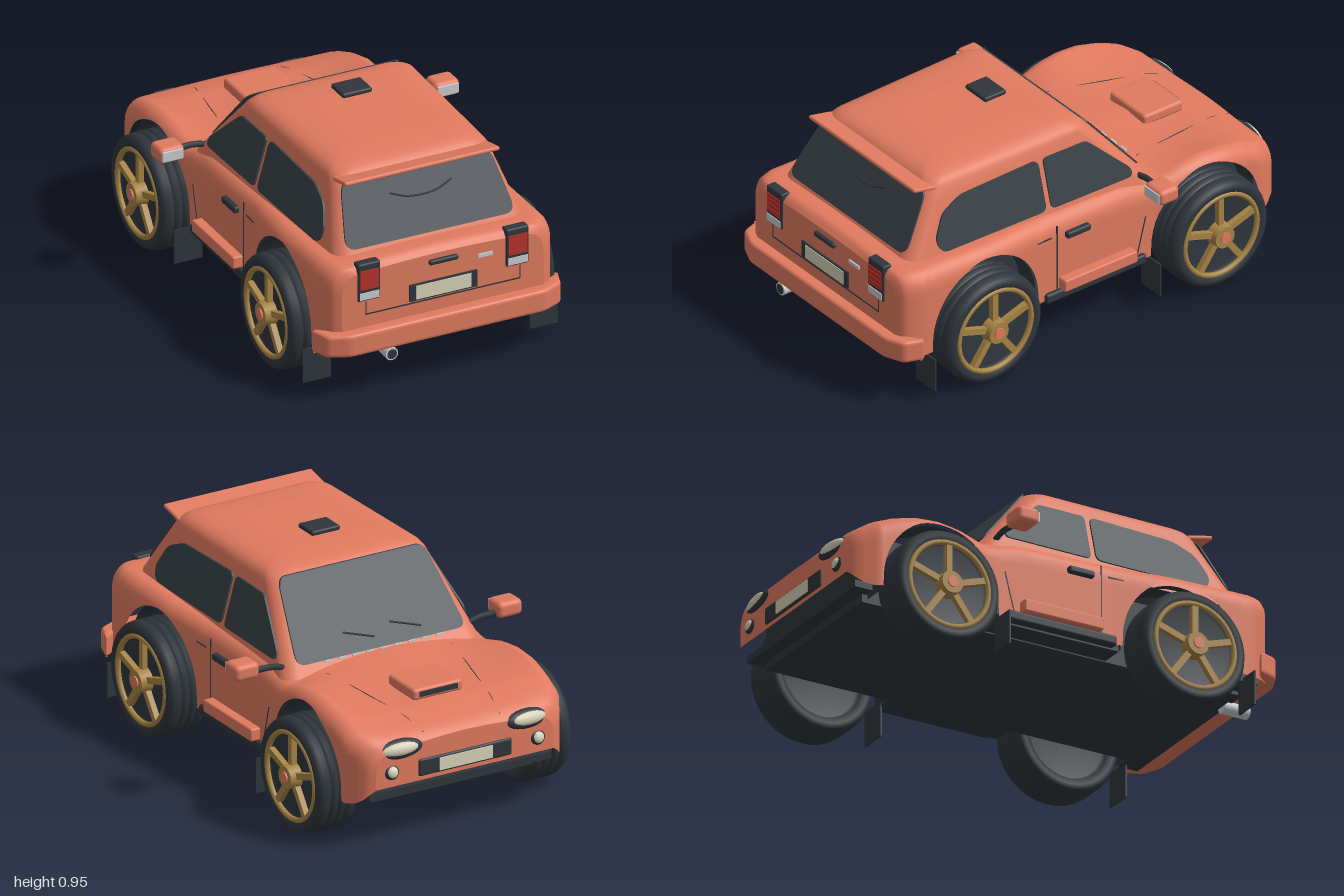
import * as THREE from 'three';
import { RoundedBoxGeometry } from 'three/addons/geometries/RoundedBoxGeometry.js';

const mat = (name, color, side = THREE.FrontSide) => Object.assign(new THREE.MeshStandardMaterial({ color, side }), { name });
const paint = mat('body paint', 0xe07a5f);
const dark = mat('dark trim', 0x2f363c, THREE.DoubleSide);
const glass = mat('tinted glass', 0x3a4248, THREE.DoubleSide);
const gold = mat('wheel gold', 0xa88445);
const silver = mat('silver', 0xc8cdd0);
const cream = mat('cream', 0xd8d2b8);
const red = mat('lamp red', 0xb8302a);

const { lerp } = THREE.MathUtils;

// Linear lookup in a short table of [key, value]
function look(table, k) {
  if (k <= table[0][0]) return table[0][1];
  for (let i = 1; i < table.length; i++) {
    const [a, va] = table[i - 1], [b, vb] = table[i];
    if (k <= b) return lerp(va, vb, (k - a) / (b - a));
  }
  return table[table.length - 1][1];
}

// Skin a list of cross-sections, with optional fan caps at both ends
function loft(rows, closed, flip, capFirst, capLast) {
  const pos = rows.flat(2), idx = [], n = rows[0].length;
  const tri = (a, b, c, f) => (f ? idx.push(a, c, b) : idx.push(a, b, c));
  for (let i = 0; i < rows.length - 1; i++)
    for (let j = 0; j < (closed ? n : n - 1); j++) {
      const k = (j + 1) % n, a = i * n + j, b = i * n + k;
      tri(a, b, a + n, flip);
      tri(b, b + n, a + n, flip);
    }
  const cap = (row, centre, f) => {
    const s = pos.length / 3;
    pos.push(...centre, ...row.flat());
    for (let j = 0; j < n; j++) tri(s, s + 1 + j, s + 1 + (j + 1) % n, f);
  };
  if (capFirst) cap(rows[0], capFirst, !flip);
  if (capLast) cap(rows[rows.length - 1], capLast, flip);
  const g = new THREE.BufferGeometry();
  g.setAttribute('position', new THREE.Float32BufferAttribute(pos, 3));
  g.setIndex(idx);
  g.computeVertexNormals();
  return g;
}

// Polygon with rounded corners
function roundPoly(pts, r) {
  const s = new THREE.Shape(), v = pts.map(p => new THREE.Vector2(...p)), n = v.length;
  v.forEach((p, i) => {
    const to = q => p.clone().add(q.clone().sub(p).setLength(r));
    const a = to(v[(i + n - 1) % n]), b = to(v[(i + 1) % n]);
    i ? s.lineTo(a.x, a.y) : s.moveTo(a.x, a.y);
    s.quadraticCurveTo(p.x, p.y, b.x, b.y);
  });
  s.closePath();
  return s;
}

// Thin plate laid onto a surface by map(a, b, depth) -> [x, y, z]
function plate(pts, r, map) {
  const g = new THREE.ExtrudeGeometry(roundPoly(pts, r), { depth: 0.008, bevelEnabled: false, curveSegments: 6 });
  const p = g.attributes.position;
  for (let i = 0; i < p.count; i++) p.setXYZ(i, ...map(p.getX(i), p.getY(i), p.getZ(i)));
  g.computeVertexNormals();
  return g;
}

// Body: half width, shoulder height, centre height and lower edge along z
const ARCHES = [[-0.592, 0.272], [0.533, 0.275]], ARCH_H = 0.295, AXLE_Y = 0.25;
const width = z => look([[-0.985, 0.42], [-0.965, 0.46], [-0.88, 0.51], [-0.7, 0.525], [-0.5, 0.52], [-0.34, 0.5], [0.2, 0.5], [0.5, 0.525], [0.85, 0.522], [0.91, 0.505], [0.935, 0.485], [0.95, 0.455]], z);
const shoulder = z => look([[-0.985, 0.43], [-0.96, 0.47], [-0.9, 0.505], [-0.8, 0.545], [-0.7, 0.568], [-0.6, 0.577], [-0.5, 0.565], [-0.38, 0.535], [-0.2, 0.57], [0.5, 0.585], [0.9, 0.595], [0.935, 0.585], [0.95, 0.56]], z);
const centreY = z => look([[-0.985, 0.455], [-0.95, 0.485], [-0.8, 0.525], [-0.6, 0.55], [-0.36, 0.578], [0.5, 0.59], [0.92, 0.603], [0.95, 0.575]], z);
function lowerEdge(z) {
  for (const [c, r] of ARCHES) {
    const d = (z - c) / r;
    if (Math.abs(d) < 1) return AXLE_Y + ARCH_H * Math.sqrt(1 - d * d);
  }
  return look([[-0.985, 0.28], [-0.95, 0.225], [-0.9, 0.21]], z);
}
function deckY(x, z) {
  const s = Math.min(1, Math.abs(x) / (width(z) - 0.07));
  return lerp(centreY(z), shoulder(z), s * s) - 0.02 * Math.sin(Math.PI * s) * Math.exp(-(((z + 0.62) / 0.18) ** 2));
}
function bodySection(z) {
  const half = [], w = width(z), ys = shoulder(z), yb = lowerEdge(z);
  for (let i = 0; i <= 12; i++) {
    const y = lerp(yb, ys, Math.sin(i / 12 * Math.PI / 2)), d = Math.max(0, (y - ys + 0.08) / 0.08);
    half.push([w - 0.07 * (1 - Math.sqrt(Math.max(0, 1 - d * d))), y, z]);
  }
  for (let i = 1; i <= 8; i++) {
    const x = (w - 0.07) * (1 - i / 8);
    half.push([x, deckY(x, z), z]);
  }
  return [...half, ...half.slice(0, -1).reverse().map(([x, y]) => [-x, y, z])];
}
function bodyGeometry() {
  const zs = [-0.985, -0.975, -0.96, -0.93, -0.9, -0.88, -0.28, -0.2, -0.1, 0, 0.1, 0.2, 0.85, 0.88, 0.91, 0.925, 0.935, 0.945, 0.95];
  for (const [c, r] of ARCHES) {
    zs.push(c - r - 0.001, c + r + 0.001);
    for (let i = 0; i <= 24; i++) zs.push(c - r * 0.9999 * Math.cos(i / 24 * Math.PI));
  }
  zs.sort((a, b) => a - b);
  return loft(zs.map(bodySection), false, false, [0, 0.35, -0.985], [0, 0.4, 0.95]);
}

// Cabin: tapering rounded rectangles
const R = 0.07;
const cabin = y => {
  const t = (y - 0.57) / 0.29;
  return { xf: lerp(0.455, 0.37, t), xr: lerp(0.435, 0.355, t), zf: lerp(-0.35, -0.11, t), zr: lerp(0.865, 0.69, t) };
};
const cabinX = (y, z) => {
  const c = cabin(y);
  return lerp(c.xf, c.xr, (z - c.zf - R) / (c.zr - c.zf - 2 * R));
};
function cabinGeometry() {
  const ring = (y, inset, base) => {
    const c = cabin(base), pts = [];
    [[c.xr, c.zr, 1, 1], [c.xr, c.zr, -1, 1], [c.xf, c.zf, -1, -1], [c.xf, c.zf, 1, -1]].forEach(([x, z, sx, sz], q) => {
      for (let i = 0; i <= 6; i++) {
        const a = (q + i / 6) * Math.PI / 2;
        pts.push([sx * (x - inset - R) + R * Math.cos(a), y, z - sz * (inset + R) + R * Math.sin(a)]);
      }
    });
    return pts;
  };
  const rows = [0.53, 0.6, 0.7, 0.8, 0.85].map(y => ring(y, 0, y));
  for (const [y, inset] of [[0.87, 0.012], [0.884, 0.032], [0.894, 0.065], [0.901, 0.12], [0.905, 0.2]]) rows.push(ring(y, inset, 0.86));
  return loft(rows, true, true, null, [0, 0.907, 0.29]);
}

export function createModel() {
  const car = new THREE.Group();
  car.name = 'car';
  const add = (name, geo, m, x = 0, y = 0, z = 0, parent = car) => {
    const mesh = new THREE.Mesh(geo, m);
    mesh.name = name;
    mesh.position.set(x, y, z);
    parent.add(mesh);
    return mesh;
  };
  const box = (name, m, w, h, d, x, y, z, r = 0) =>
    add(name, r ? new RoundedBoxGeometry(w, h, d, 3, r) : new THREE.BoxGeometry(w, h, d), m, x, y, z);
  const tube = (name, m, pts, r) =>
    add(name, new THREE.TubeGeometry(new THREE.CatmullRomCurve3(pts.map(p => new THREE.Vector3(...p))), 16, r, 6), m);

  add('body', bodyGeometry(), paint);
  add('cabin', cabinGeometry(), paint);

  // Windscreen and rear window
  add('windscreen', plate([[-0.4, 0.585], [0.4, 0.585], [0.345, 0.875], [-0.345, 0.875]], 0.04,
    (x, y, d) => [x, y, cabin(y).zf - d + (y > 0.86 ? (y - 0.86) * 0.3 : 0)]), glass);
  add('rearWindow', plate([[-0.385, 0.615], [0.385, 0.615], [0.335, 0.855], [-0.335, 0.855]], 0.05,
    (x, y, d) => [x, y, cabin(y).zr + d]), glass);
  tube('rearWiper', dark, [[-0.14, 0.78, cabin(0.78).zr + 0.012], [-0.06, 0.755, cabin(0.755).zr + 0.012], [0.06, 0.755, cabin(0.755).zr + 0.012], [0.14, 0.78, cabin(0.78).zr + 0.012]], 0.004);
  for (const x of [-0.12, 0.1]) tube('wiper', dark, [[x - 0.08, 0.625, cabin(0.625).zf - 0.014], [x + 0.05, 0.66, cabin(0.66).zf - 0.014]], 0.004);
  for (let i = -4; i <= 4; i++) box('cowlVent', silver, 0.035, 0.006, 0.008, i * 0.066, 0.588, -0.362);

  // Roof pad, spoiler and bonnet scoop
  box('roofPad', dark, 0.135, 0.022, 0.11, 0, 0.936, 0.137, 0.009);
  box('spoiler', paint, 0.7, 0.018, 0.12, 0, 0.863, 0.712, 0.008).rotation.x = -0.22;
  box('bonnetScoop', paint, 0.235, 0.05, 0.2, 0, 0.552, -0.68, 0.015);
  box('scoopIntake', dark, 0.18, 0.022, 0.008, 0, 0.554, -0.78);

  // Floor and inner structure
  box('floor', dark, 0.76, 0.3, 1.76, 0, 0.335, -0.01);
  box('midFloor', dark, 0.97, 0.04, 0.56, 0, 0.21, -0.03);
  box('rearFloor', dark, 0.96, 0.03, 0.09, 0, 0.215, 0.86);
  box('noseFloor', dark, 0.86, 0.03, 0.08, 0, 0.235, -0.91);

  // Rear bumper, plate, handle, badge bar, boot seam and exhaust
  const plan = roundPoly([[-0.56, 0.87], [-0.53, 0.96], [-0.44, 1], [0.44, 1], [0.53, 0.96], [0.56, 0.87], [0.48, 0.91], [-0.48, 0.91]], 0.02);
  const bumper = new THREE.ExtrudeGeometry(plan, { depth: 0.07, bevelSize: 0.015, bevelThickness: 0.015, bevelOffset: -0.015, bevelSegments: 3 });
  add('rearBumper', bumper.rotateX(Math.PI / 2), paint, 0, 0.3, 0);
  box('rearPlateFrame', dark, 0.305, 0.075, 0.012, 0, 0.42, 0.952);
  box('rearPlate', cream, 0.25, 0.062, 0.008, 0, 0.42, 0.957);
  box('bootHandle', dark, 0.13, 0.022, 0.022, 0, 0.54, 0.955, 0.008);
  box('badgeBar', silver, 0.066, 0.016, 0.008, 0.19, 0.517, 0.953);
  box('bootSeam', dark, 0.7, 0.005, 0.004, 0, 0.372, 0.951);
  const pipe = add('exhaust', new THREE.CylinderGeometry(0.028, 0.028, 0.12, 20), silver, -0.25, 0.185, 0.93);
  pipe.rotation.x = Math.PI / 2;
  add('exhaustBore', new THREE.CircleGeometry(0.022, 20), dark, -0.25, 0.185, 0.9915);

  // Grille and front plate
  box('grille', dark, 0.44, 0.075, 0.02, 0, 0.335, -0.983, 0.009);
  box('frontPlate', cream, 0.25, 0.055, 0.008, 0, 0.335, -0.993);

  // Tyre profile with tread grooves, shared by all wheels
  const half = [[0.001, 0.062], [0.172, 0.062], [0.182, 0.085], [0.21, 0.095], [0.23, 0.088], [0.24, 0.07], [0.243, 0.045], [0.232, 0.042], [0.232, 0.032], [0.243, 0.029], [0.243, 0.008], [0.232, 0.005]];
  const tyreProfile = [...half.map(([r, y]) => [r, -y]), ...half.slice().reverse()].map(p => new THREE.Vector2(...p));
  const tyre = new THREE.LatheGeometry(tyreProfile, 48);

  for (const s of [1, -1]) {
    const side = s > 0 ? 'left' : 'right';
    const onSide = (a, b, d) => [s * (cabinX(b, a) + d), b, a];

    // Side windows
    add(side + 'DoorWindow', plate([[0.145, 0.595], [0.145, 0.805], [-0.075, 0.805], [-0.26, 0.63], [-0.26, 0.595]], 0.022, onSide), glass);
    add(side + 'QuarterWindow', plate([[0.17, 0.595], [0.17, 0.808], [0.56, 0.795], [0.66, 0.75], [0.715, 0.65], [0.69, 0.595]], 0.03, onSide), glass);

    // Door details and sill
    box(side + 'DoorHandle', dark, 0.03, 0.03, 0.12, s * 0.508, 0.489, 0.06, 0.01);
    box(side + 'SideMoulding', paint, 0.05, 0.055, 0.37, s * 0.518, 0.268, -0.035, 0.008);
    box(side + 'Sill', dark, 0.05, 0.045, 0.51, s * 0.495, 0.22, -0.03, 0.012);
    box(side + 'DoorRearSeam', dark, 0.004, 0.3, 0.005, s * 0.5, 0.395, 0.16);
    box(side + 'DoorFrontSeam', dark, 0.004, 0.17, 0.005, s * 0.5, 0.33, -0.27).rotation.x = -0.25;
    box(side + 'FuelFlapSeam', dark, 0.004, 0.005, 0.08, s * 0.503, 0.5, 0.23);
    const seam = [-0.96, -0.85, -0.7, -0.55, -0.4].map(z => {
      const x = s * lerp(0.18, 0.295, (z + 0.96) / 0.56);
      return [x, deckY(x, z) - 0.0005, z];
    });
    tube(side + 'BonnetSeam', dark, seam, 0.002);

    // Mirror
    box(side + 'Mirror', paint, 0.115, 0.07, 0.1, s * 0.622, 0.602, -0.28, 0.022);
    box(side + 'MirrorGlass', silver, 0.095, 0.046, 0.008, s * 0.622, 0.602, -0.23, 0.003);
    tube(side + 'MirrorArm', dark, [[s * 0.43, 0.575, -0.3], [s * 0.5, 0.59, -0.3], [s * 0.58, 0.588, -0.295]], 0.013);

    // Tail lamp
    box(side + 'TailLampHousing', dark, 0.102, 0.17, 0.045, s * 0.335, 0.52, 0.935, 0.008);
    for (let i = 0; i < 4; i++) box(side + 'TailLamp', red, 0.084, 0.02, 0.008, s * 0.335, 0.498 + i * 0.0225, 0.957);
    box(side + 'ReverseLamp', silver, 0.088, 0.032, 0.008, s * 0.335, 0.459, 0.957);
    box(side + 'BootSeamEnd', dark, 0.005, 0.06, 0.004, s * 0.348, 0.4, 0.951);

    // Headlamp and fog lamp
    const lamp = (name, m, rx, ry, rz, x, y, z, turn) => {
      const mesh = add(name, new THREE.SphereGeometry(1, 24, 12), m, s * x, y, z);
      mesh.scale.set(rx, ry, rz);
      mesh.rotation.set(0.3, s * turn, 0);
    };
    lamp(side + 'HeadlampBezel', dark, 0.108, 0.042, 0.03, 0.305, 0.432, -0.968, -0.12);
    lamp(side + 'Headlamp', cream, 0.09, 0.032, 0.03, 0.305, 0.434, -0.974, -0.12);
    lamp(side + 'FogLampBezel', dark, 0.034, 0.034, 0.02, 0.345, 0.345, -0.98, 0);
    lamp(side + 'FogLamp', cream, 0.027, 0.027, 0.02, 0.345, 0.345, -0.985, 0);

    // Wheel arches, mud flaps and wheels
    ARCHES.forEach(([c, r], k) => {
      const end = k ? 'Rear' : 'Front', arc = [];
      for (let i = 0; i <= 24; i++) {
        const a = i / 24 * Math.PI;
        arc.push([c + r * Math.cos(a), AXLE_Y + (ARCH_H - 0.002) * Math.sin(a)]);
      }
      arc.unshift([c + r, 0.2]);
      arc.push([c - r, 0.2]);
      add(side + end + 'ArchLiner', loft([0.36, 0.484].map(x => arc.map(([z, y]) => [s * x, y, z])), false, s > 0), dark);
      box(side + end + 'MudFlap', dark, 0.125, 0.15, 0.008, s * 0.513, 0.135, k ? 0.836 : -0.31);

      const wheel = new THREE.Group();
      wheel.name = side + end + 'Wheel';
      wheel.position.set(s * 0.505, 0.245, k ? 0.545 : -0.605);
      wheel.rotation.z = -s * Math.PI / 2;
      car.add(wheel);
      add('tyre', tyre, dark, 0, 0, 0, wheel);
      add('rim', new THREE.TorusGeometry(0.184, 0.012, 8, 48), gold, 0, 0.084, 0, wheel).rotation.x = Math.PI / 2;
      for (let i = 0; i < 5; i++) {
        const a = i / 5 * Math.PI * 2 + (s > 0 ? Math.PI : 0);
        add('spoke', new THREE.BoxGeometry(0.15, 0.025, 0.027), gold, 0.108 * Math.cos(a), 0.077, 0.108 * Math.sin(a), wheel).rotation.y = -a;
      }
      add('hub', new THREE.CylinderGeometry(0.048, 0.055, 0.055, 24), gold, 0, 0.087, 0, wheel);
      add('hubCap', new THREE.CylinderGeometry(0.024, 0.024, 0.008, 20), paint, 0, 0.117, 0, wheel);
    });
  }
  return car;
}
